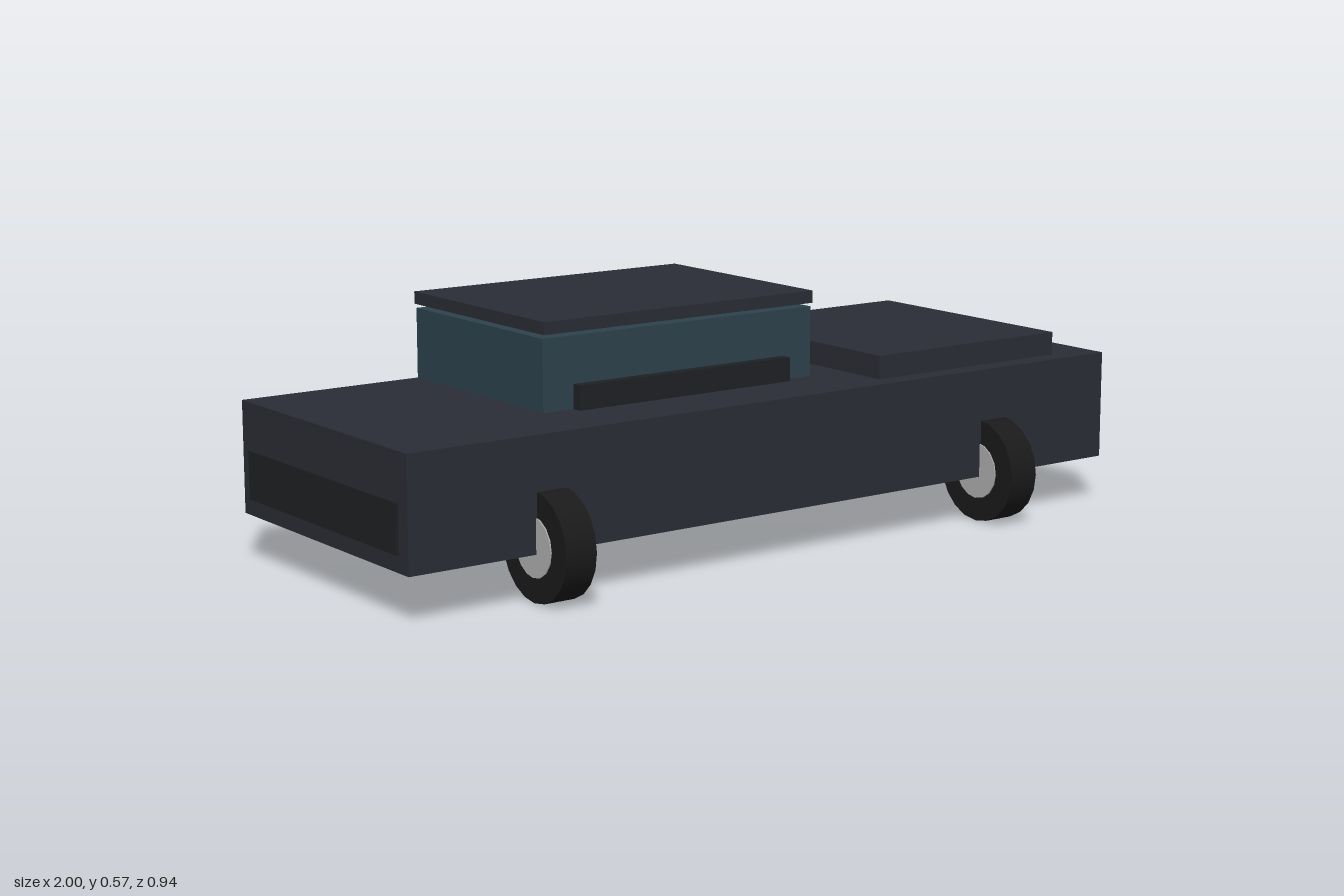
import * as THREE from 'three';

const paint = (color) => new THREE.MeshStandardMaterial({ color });

export function createModel() {
  const model = new THREE.Group();
  const bodyPaint = paint(0x2a2d35);
  const glass = paint(0x2d424d);
  const trim = paint(0x1e2124);
  const rubber = paint(0x1a1a1a);
  const metal = paint(0xb0b0b0);

  // Box given by its minimum and maximum corners
  function block(name, material, [x0, y0, z0], [x1, y1, z1]) {
    const mesh = new THREE.Mesh(new THREE.BoxGeometry(x1 - x0, y1 - y0, z1 - z0), material);
    mesh.position.set((x0 + x1) / 2, (y0 + y1) / 2, (z0 + z1) / 2);
    mesh.name = name;
    model.add(mesh);
  }

  // Body, hood, cabin and the separate roof panel floating just above it
  block('body', bodyPaint, [-0.993, 0.11, -0.357], [0.99, 0.37, 0.357]);
  block('hood', bodyPaint, [0.315, 0.37, -0.307], [0.868, 0.426, 0.307]);
  block('cabin', glass, [-0.535, 0.37, -0.356], [0.215, 0.535, 0.173]);
  block('roof', bodyPaint, [-0.536, 0.544, -0.363], [0.216, 0.573, 0.18]);
  block('sideTrim', trim, [-0.455, 0.37, 0.17], [0.135, 0.426, 0.199]);

  // Dark panels at both ends
  block('leftEndPanel', trim, [0.98, 0.149, -0.321], [1, 0.261, 0.321]);
  block('rightEndPanel', trim, [-1, 0.149, -0.321], [-0.98, 0.261, 0.321]);

  // Four wheels turning about the x axis, each rim slightly wider than its tyre
  const tyre = new THREE.CylinderGeometry(0.124, 0.124, 0.077, 20).rotateZ(Math.PI / 2);
  const rim = new THREE.CylinderGeometry(0.068, 0.068, 0.083, 16).rotateZ(Math.PI / 2);
  for (const x of [-0.637, 0.631]) {
    for (const z of [-0.344, 0.344]) {
      const wheel = new THREE.Group();
      wheel.name = 'wheel';
      for (const [name, geometry, material] of [['tyre', tyre, rubber], ['rim', rim, metal]]) {
        const mesh = new THREE.Mesh(geometry, material);
        mesh.name = name;
        wheel.add(mesh);
      }
      wheel.position.set(x, 0.124, z);
      model.add(wheel);
    }
  }
  return model;
}
